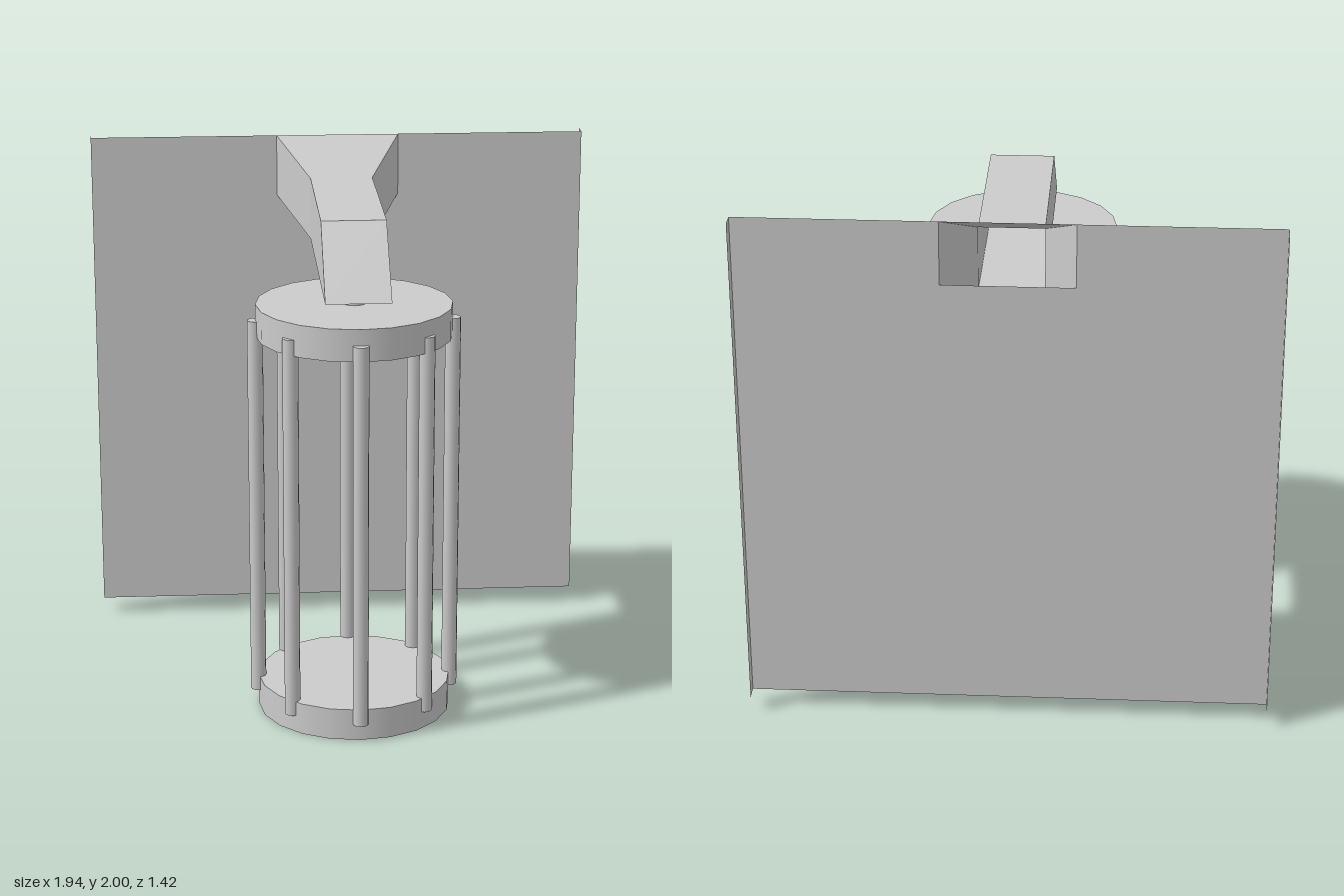
import * as THREE from 'three';

export function createModel() {
  const group = new THREE.Group();
  const mat = new THREE.MeshStandardMaterial({ color: 0xcccccc });
  const sheetMat = new THREE.MeshStandardMaterial({ color: 0xcccccc, side: THREE.DoubleSide });
  const flatMat = new THREE.MeshStandardMaterial({ color: 0xcccccc, side: THREE.DoubleSide, flatShading: true });
  const lampZ = 0.32;

  const add = (name, geometry, material, x = 0, y = 0, z = 0) => {
    const mesh = new THREE.Mesh(geometry, material);
    mesh.name = name;
    mesh.position.set(x, y, z);
    group.add(mesh);
    return mesh;
  };

  // Wall sheet, notched at the top where the hollow arm opens through it
  const wall = new THREE.Shape([
    [-0.97, 0.065], [0.97, 0.065], [0.97, 2], [0.24, 2],
    [0.24, 1.76], [-0.24, 1.76], [-0.24, 2], [-0.97, 2],
  ].map(([x, y]) => new THREE.Vector2(x, y)));
  add('wallPlate', new THREE.ShapeGeometry(wall), sheetMat, 0, 0, -0.65);

  // Side flanges folded backwards
  for (const side of [-1, 1]) {
    const flange = add(side > 0 ? 'leftFlange' : 'rightFlange',
      new THREE.PlaneGeometry(0.06, 1.935), sheetMat, side * 0.97, 1.0325, -0.68);
    flange.rotation.y = side * Math.PI / 2;
  }

  // Hollow arm lofted through rectangular sections, flaring at the wall
  const sections = [
    { w: 0.24, top: [2, -0.65], bottom: [1.76, -0.65] },
    { w: 0.12, top: [1.88, -0.41], bottom: [1.64, -0.41] },
    { w: 0.12, top: [1.88, 0.29], bottom: [1.64, 0.56] },
  ];
  const points = [];
  for (const { w, top, bottom } of sections) {
    points.push(-w, ...bottom, w, ...bottom, w, ...top, -w, ...top);
  }
  const index = [];
  for (let s = 0; s < sections.length - 1; s++) {
    for (let i = 0; i < 4; i++) {
      const a = s * 4 + i, b = s * 4 + (i + 1) % 4;
      index.push(a, b, b + 4, a, b + 4, a + 4);
    }
  }
  index.push(8, 9, 10, 8, 10, 11); // slanted front end
  const arm = new THREE.BufferGeometry();
  arm.setAttribute('position', new THREE.Float32BufferAttribute(points, 3));
  arm.setIndex(index);
  const armGeometry = arm.toNonIndexed();
  armGeometry.computeVertexNormals();
  add('arm', armGeometry, flatMat);

  // Lantern discs and the stem that hangs them from the arm
  const disc = new THREE.CylinderGeometry(0.3625, 0.3625, 0.12, 20);
  add('baseDisc', disc, mat, 0, 0.06, lampZ);
  add('topDisc', disc, mat, 0, 1.52, lampZ);
  add('stem', new THREE.CylinderGeometry(0.045, 0.045, 0.06, 16), mat, 0, 1.61, lampZ);

  // Eight rods round the lantern, the diagonal ones set slightly inwards
  const rod = new THREE.CylinderGeometry(0.029, 0.029, 1.455, 12);
  for (let i = 0; i < 8; i++) {
    const angle = i * Math.PI / 4;
    const r = i % 2 ? 0.348 : 0.364;
    add('rod' + (i + 1), rod, mat, r * Math.sin(angle), 0.7925, lampZ + r * Math.cos(angle));
  }

  return group;
}
